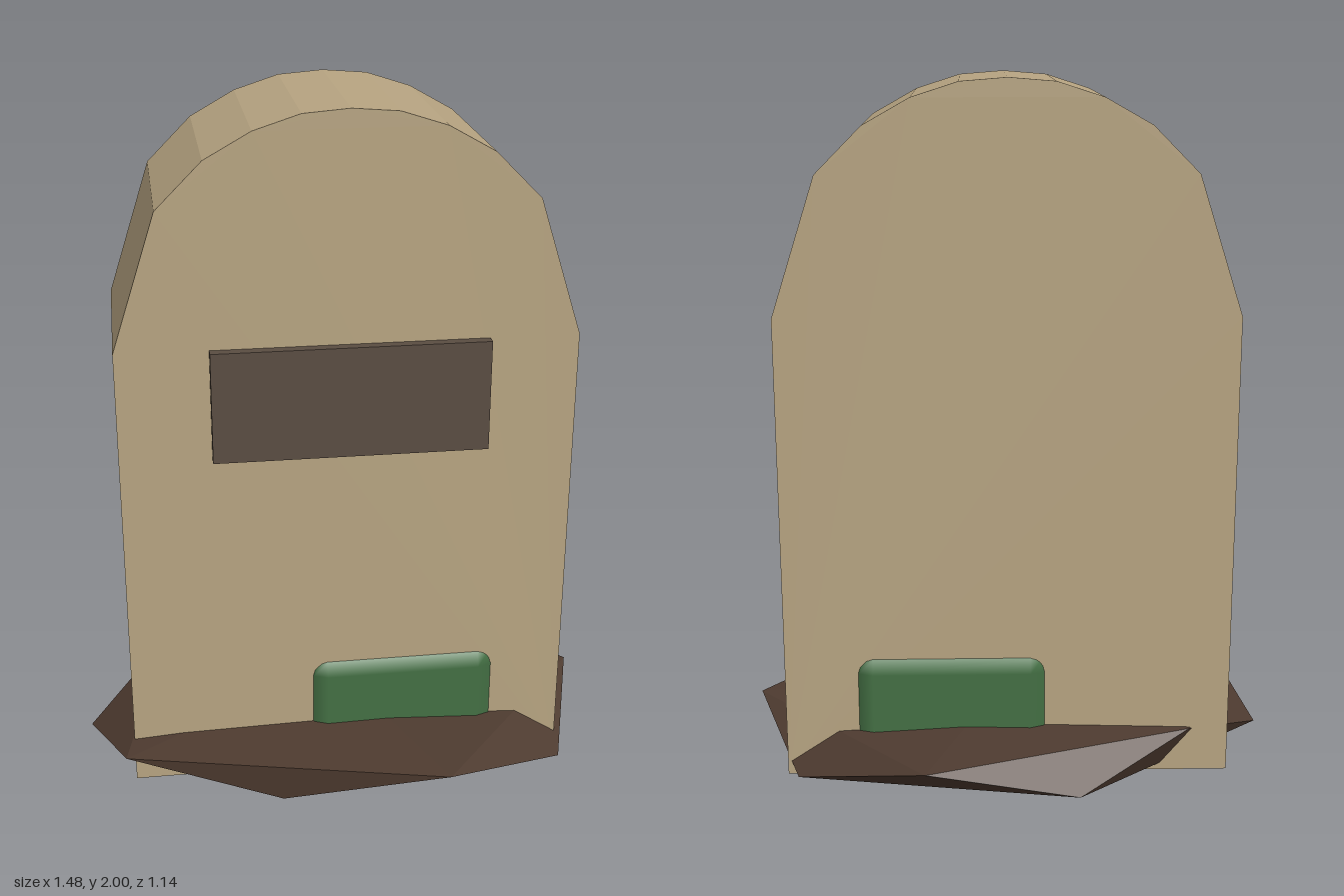
import * as THREE from 'three';
import { RoundedBoxGeometry } from 'three/addons/geometries/RoundedBoxGeometry.js';

const material = (color, flatShading = true) =>
  new THREE.MeshStandardMaterial({ color, flatShading });

function addPart(group, name, geometry, mat, x = 0, y = 0, z = 0) {
  const mesh = new THREE.Mesh(geometry, mat);
  mesh.name = name;
  mesh.position.set(x, y, z);
  group.add(mesh);
}

// Upright slab with a faceted arched top, mirrored about its own centre line
function slabGeometry() {
  const half = [[0.6225, 0.07], [0.6225, 1.38], [0.5, 1.755], [0.375, 1.88], [0.25, 1.95], [0.125, 1.99]];
  const outline = [...half, [0, 2], ...half.map(([x, y]) => [-x, y]).reverse()];
  const shape = new THREE.Shape(outline.map(([x, y]) => new THREE.Vector2(x, y)));
  return new THREE.ExtrudeGeometry(shape, { depth: 0.56, bevelEnabled: false });
}

// Irregular flattened twenty-sided mound: two poles and two staggered rings of five
function moundGeometry() {
  const top = [0, 0.24, -0.01];
  const bottom = [0.01, 0, -0.02];
  const upper = [[0.74, 0.2, -0.02], [0.255, 0.208, 0.57], [-0.635, 0.205, 0.355], [-0.5, 0.2, -0.31], [0.24, 0.2, -0.575]];
  const lower = [[0.63, 0.085, 0.335], [-0.2, 0.095, 0.45], [-0.74, 0.085, -0.02], [-0.18, 0.095, -0.51], [0.6, 0.09, -0.36]];
  const points = [];
  for (let i = 0; i < 5; i++) {
    const j = (i + 1) % 5;
    points.push(top, upper[j], upper[i]);
    points.push(upper[i], upper[j], lower[i]);
    points.push(lower[i], upper[j], lower[j]);
    points.push(bottom, lower[i], lower[j]);
  }
  const geometry = new THREE.BufferGeometry();
  geometry.setAttribute('position', new THREE.Float32BufferAttribute(points.flat(), 3));
  geometry.computeVertexNormals();
  return geometry;
}

export function createModel() {
  const group = new THREE.Group();
  group.name = 'gravestone';

  addPart(group, 'stoneSlab', slabGeometry(), material(0xb8a582), 0.0125, 0, -0.3);
  addPart(group, 'plaque', new THREE.BoxGeometry(0.75, 0.31, 0.06), material(0x5a4d42), 0.015, 1.225, 0.26);
  addPart(group, 'earthMound', moundGeometry(), material(0x4e3b30));

  // Mossy block passing through the slab
  addPart(group, 'mossBlock', new RoundedBoxGeometry(0.55, 0.31, 0.6, 1, 0.055),
    material(0x447044, false), 0.17, 0.275, -0.02);

  return group;
}
